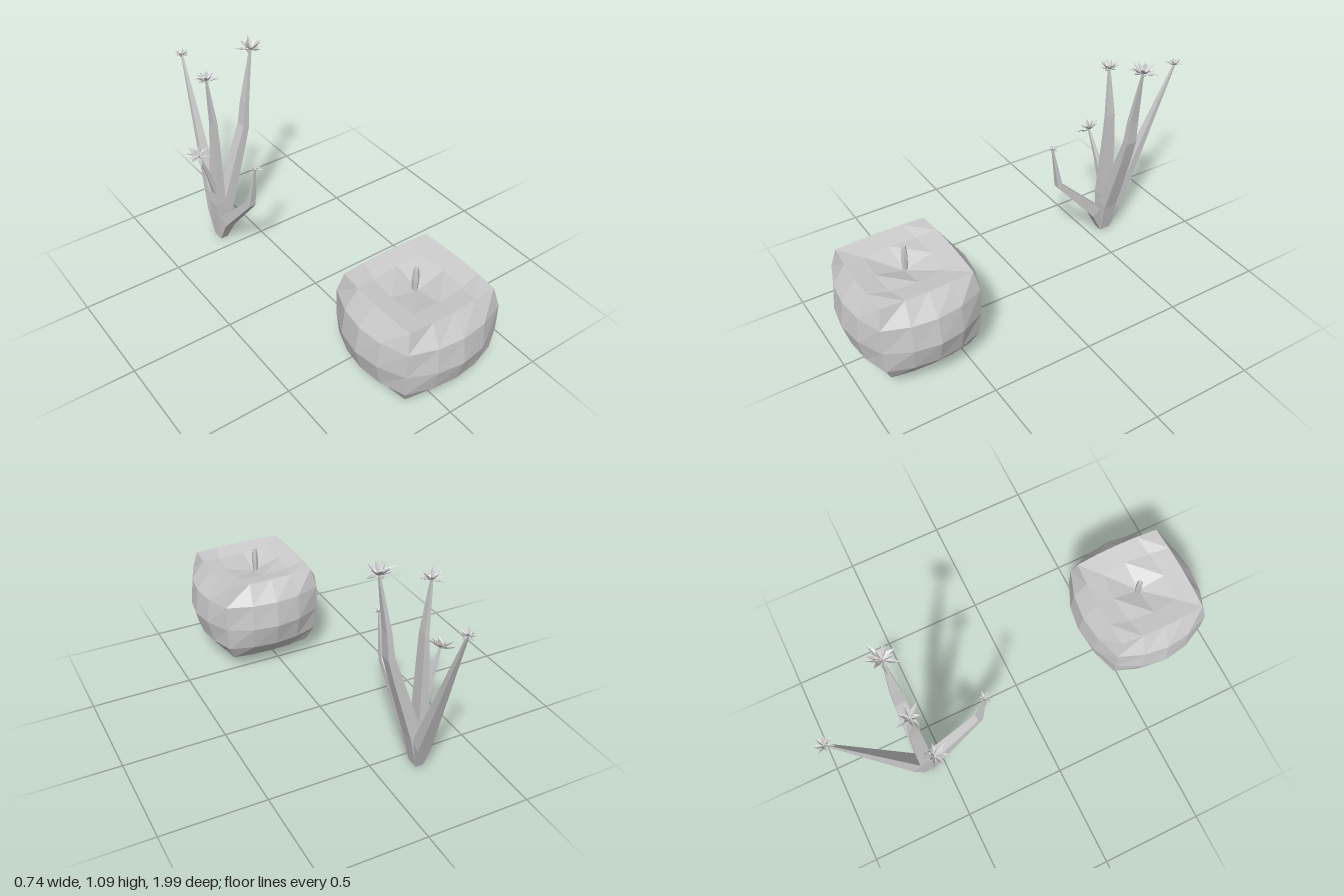
import * as THREE from 'three';

const V = (x, y, z) => new THREE.Vector3(x, y, z);
const material = new THREE.MeshStandardMaterial({ color: 0xcccccc, flatShading: true });
const petalMaterial = new THREE.MeshStandardMaterial({ color: 0xcccccc, flatShading: true, side: THREE.DoubleSide });

function addMesh(parent, name, geometry, mat = material) {
  const flat = geometry.index ? geometry.toNonIndexed() : geometry;
  flat.computeVertexNormals();
  const mesh = new THREE.Mesh(flat, mat);
  mesh.name = name;
  parent.add(mesh);
  return mesh;
}

// Fruit body: a 4 x 4 x 4 box rounded row by row, dimpled above and below
function fruitGeometry() {
  const rows = [ // height, half width at face middle, half width at corner
    [0.085, 0.228, 0.205],
    [0.165, 0.295, 0.24],
    [0.285, 0.33, 0.25],
    [0.415, 0.312, 0.25],
    [0.512, 0.238, 0.228],
  ];
  const geometry = new THREE.BoxGeometry(4, 4, 4, 4, 4, 4);
  const pos = geometry.attributes.position;
  for (let i = 0; i < pos.count; i++) {
    const u = Math.round(pos.getX(i)), v = Math.round(pos.getY(i)), w = Math.round(pos.getZ(i));
    const ring = Math.max(Math.abs(u), Math.abs(w));
    let [y, mid, corner] = rows[v + 2];
    let x, z;
    if (ring === 2) {
      const across = (a, b) => Math.abs(a) === 2
        ? Math.sign(a) * (mid - (mid - corner) * (b / 2) ** 2)
        : corner * a / 2;
      x = across(u, w);
      z = across(w, u);
    } else {
      const spread = v > 0 ? 0.145 : 0.115;
      const round = u && w ? 0.92 : 1;
      x = u * spread * round;
      z = w * spread * round;
      if (v > 0) y = ring ? 0.495 : 0.455;
      else y = ring ? 0.01 : 0.04;
    }
    pos.setXYZ(i, x, y, z * 0.955);
  }
  return geometry;
}

// Four-sided branch: points are [x, y, z, half width along side, half width across it]
function branchGeometry(points, side) {
  const centres = points.map(p => V(p[0], p[1], p[2]));
  const verts = [], index = [];
  points.forEach((p, i) => {
    const last = points.length - 1;
    const along = i === 0 ? V(0, 1, 0)
      : centres[Math.min(i + 1, last)].clone().sub(centres[i - 1]).normalize();
    const n1 = side.clone().addScaledVector(along, -side.dot(along)).normalize();
    const n2 = along.clone().cross(n1);
    for (const [a, b] of [[1, 1], [-1, 1], [-1, -1], [1, -1]]) {
      const q = centres[i].clone().addScaledVector(n1, a * p[3]).addScaledVector(n2, b * p[4]);
      verts.push(q.x, q.y, q.z);
    }
    if (i === last) return;
    for (let k = 0; k < 4; k++) {
      const a = i * 4 + k, b = i * 4 + (k + 1) % 4;
      index.push(a, b, b + 4, a, b + 4, a + 4);
    }
  });
  const t = (points.length - 1) * 4;
  index.push(0, 2, 1, 0, 3, 2, t, t + 1, t + 2, t, t + 2, t + 3);
  const geometry = new THREE.BufferGeometry();
  geometry.setAttribute('position', new THREE.Float32BufferAttribute(verts, 3));
  geometry.setIndex(index);
  return geometry;
}

// Flower: two whorls of pointed, folded petals of unit radius
function flowerGeometry() {
  const verts = [];
  const whorl = (count, length, rise, width, turn) => {
    for (let i = 0; i < count; i++) {
      const angle = turn + i * Math.PI * 2 / count;
      const reach = length * (1 - 0.16 * (i % 3));
      const lift = rise * (1 + 0.4 * (i % 2));
      const at = (r, y, s) => V(r, y, s).applyAxisAngle(V(0, 1, 0), angle).toArray();
      const root = at(0, -0.1, 0), tip = at(reach, lift, 0);
      const left = at(reach * 0.45, lift * 0.5, width), right = at(reach * 0.45, lift * 0.5, -width);
      const fold = at(reach * 0.45, lift * 0.2 - 0.04, 0);
      verts.push(...root, ...left, ...fold, ...left, ...tip, ...fold,
        ...root, ...fold, ...right, ...fold, ...tip, ...right);
    }
  };
  whorl(7, 1, 0.16, 0.15, 0.1);
  whorl(6, 0.68, 0.36, 0.13, 0.5);
  const geometry = new THREE.BufferGeometry();
  geometry.setAttribute('position', new THREE.Float32BufferAttribute(verts, 3));
  return geometry;
}

export function createModel() {
  const model = new THREE.Group();
  model.name = 'fruitAndPlant';

  // Fruit with its short stalk
  const fruit = new THREE.Group();
  fruit.name = 'fruit';
  fruit.position.set(0.047, 0, 0.683);
  model.add(fruit);
  addMesh(fruit, 'fruitBody', fruitGeometry());
  const profile = [[0, 0.44], [0.012, 0.44], [0.016, 0.52], [0.013, 0.565], [0.009, 0.585], [0, 0.585]];
  const stalk = addMesh(fruit, 'fruitStalk',
    new THREE.LatheGeometry(profile.map(([r, y]) => new THREE.Vector2(r, y)), 6));
  stalk.position.set(-0.008, 0, -0.01);

  // Plant: branches fanning out from one foot, each ending in a flower
  const plant = new THREE.Group();
  plant.name = 'plant';
  model.add(plant);
  const X = V(1, 0, 0), Z = V(0, 0, 1);
  const footX = [-0.194, 0.025, -0.585, 0.02, 0.03];
  const footZ = [-0.194, 0.025, -0.585, 0.03, 0.02];
  const branches = [
    { name: 'front', side: X, radius: 0.038, lean: [0, 1, 0.05], points: [footX,
      [-0.187, 0.165, -0.515, 0.03, 0.03], [-0.18, 0.415, -0.282, 0.017, 0.014], [-0.175, 0.64, -0.24, 0.004, 0.004]] },
    { name: 'back', side: X, radius: 0.052, lean: [0, 1, -0.1], points: [footX,
      [-0.185, 0.165, -0.635, 0.035, 0.028], [-0.145, 0.92, -0.943, 0.004, 0.004]] },
    { name: 'upright', side: Z, radius: 0.07, lean: [-0.05, 1, 0], points: [footZ,
      [-0.2, 0.25, -0.585, 0.036, 0.028], [-0.19, 0.6, -0.588, 0.028, 0.014],
      [-0.189, 0.72, -0.588, 0.023, 0.011], [-0.21, 0.97, -0.585, 0.005, 0.004]] },
    { name: 'tall', side: Z, radius: 0.085, lean: [0.1, 1, 0], points: [footZ,
      [-0.165, 0.2, -0.585, 0.036, 0.03], [-0.062, 0.52, -0.588, 0.03, 0.022],
      [-0.021, 0.65, -0.588, 0.028, 0.016], [-0.007, 0.78, -0.588, 0.023, 0.012], [0.04, 1.055, -0.588, 0.004, 0.004]] },
    { name: 'side', side: Z, radius: 0.075, lean: [-0.45, 1, 0.2], points: [
      [-0.2, 0.29, -0.58, 0.022, 0.016], [-0.25, 0.45, -0.565, 0.012, 0.01], [-0.305, 0.595, -0.548, 0.004, 0.004]] },
  ];
  const petals = flowerGeometry();
  branches.forEach(({ name, side, radius, lean, points }, i) => {
    addMesh(plant, name + 'Branch', branchGeometry(points, side));
    const flower = addMesh(plant, name + 'Flower', petals.clone(), petalMaterial);
    flower.position.set(...points[points.length - 1].slice(0, 3));
    flower.scale.setScalar(radius);
    flower.quaternion.setFromUnitVectors(V(0, 1, 0), V(...lean).normalize());
    flower.rotateY(i * 1.3);
  });
  return model;
}
